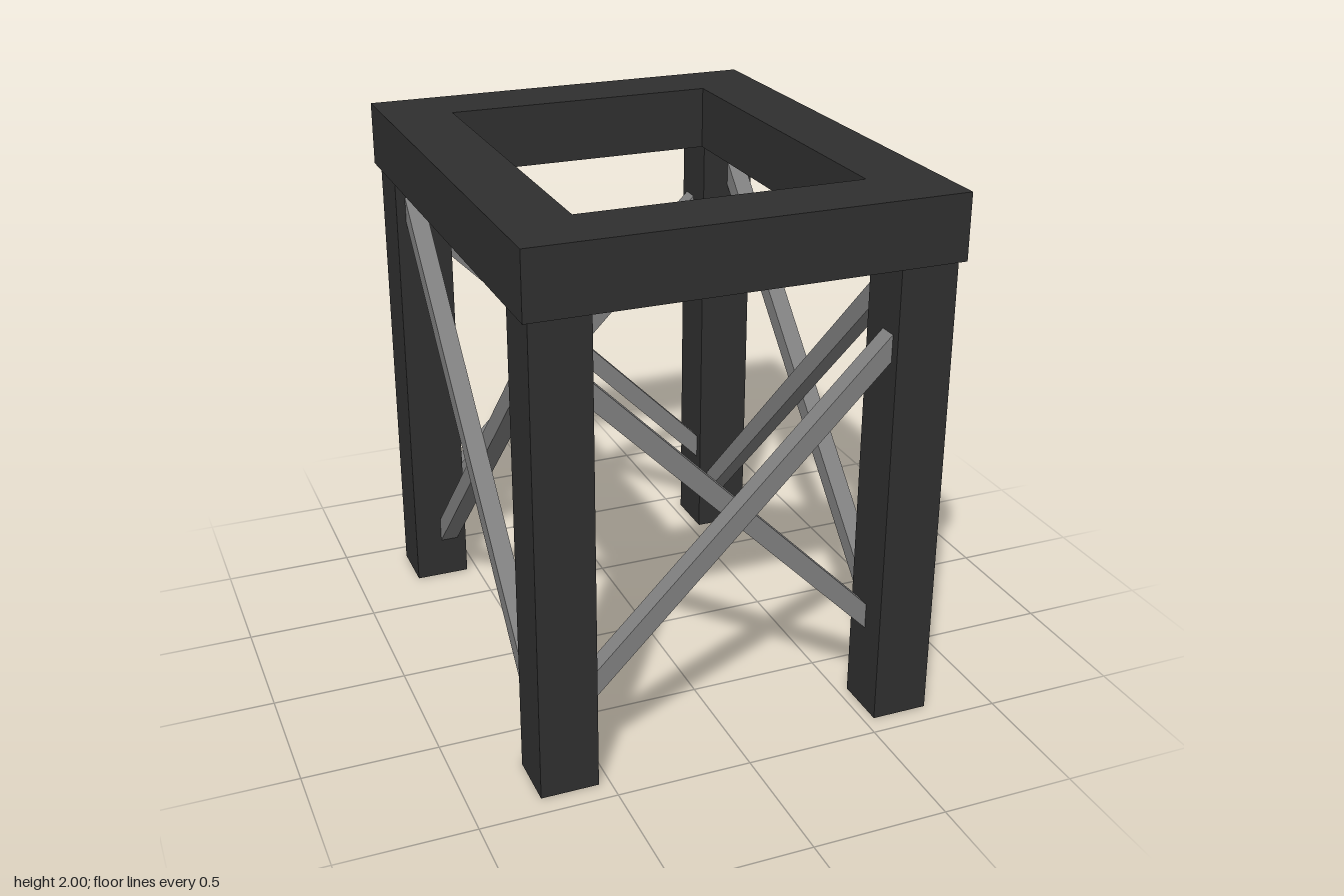
import * as THREE from 'three';

export function createModel() {
  const model = new THREE.Group();
  model.name = 'tableFrame';

  const darkFrame = new THREE.MeshStandardMaterial({ color: 0x2f2f2f });
  darkFrame.name = 'dark frame';
  const greyBrace = new THREE.MeshStandardMaterial({ color: 0x808080 });
  greyBrace.name = 'grey brace';

  const add = (name, geometry, material, x = 0, y = 0, z = 0) => {
    const mesh = new THREE.Mesh(geometry, material);
    mesh.name = name;
    mesh.position.set(x, y, z);
    model.add(mesh);
    return mesh;
  };

  const rect = (Type, hx, hy) => new Type().setFromPoints([
    new THREE.Vector2(-hx, -hy), new THREE.Vector2(hx, -hy),
    new THREE.Vector2(hx, hy), new THREE.Vector2(-hx, hy),
  ]);

  // Open rectangular top frame
  const railBottom = 1.76;
  const outline = rect(THREE.Shape, 0.775, 0.94);
  outline.holes.push(rect(THREE.Path, 0.52, 0.682));
  const top = new THREE.ExtrudeGeometry(outline, { depth: 2 - railBottom, bevelEnabled: false });
  top.rotateX(-Math.PI / 2);
  add('topFrame', top, darkFrame, 0, railBottom, 0);

  // Four square legs, set slightly inside the frame
  const legX = 0.648, legZ = 0.814, legSize = 0.212;
  const legGeometry = new THREE.BoxGeometry(legSize, railBottom, legSize);
  for (const sx of [-1, 1]) {
    for (const sz of [-1, 1]) {
      add(`${sz > 0 ? 'front' : 'back'}${sx > 0 ? 'Left' : 'Right'}Leg`,
        legGeometry, darkFrame, sx * legX, railBottom / 2, sz * legZ);
    }
  }

  // Crossed 45 degree braces, lying side by side; ends are buried in the legs
  const t = 0.07, centreY = 0.92;
  const braceLength = (leg) => 2 * Math.SQRT2 * (leg - 0.06);
  const alongX = new THREE.BoxGeometry(braceLength(legX), t, t);
  const alongZ = new THREE.BoxGeometry(t, t, braceLength(legZ));
  for (const side of [-1, 1]) {
    for (const layer of [-1, 1]) {
      const position = layer > 0 ? 'Outer' : 'Inner';
      const offset = layer * t / 2;
      add(`${side > 0 ? 'front' : 'back'}${position}Brace`, alongX, greyBrace,
        0, centreY, side * (legZ + offset)).rotation.z = layer * Math.PI / 4;
      add(`${side > 0 ? 'left' : 'right'}${position}Brace`, alongZ, greyBrace,
        side * (legX + offset), centreY, 0).rotation.x = layer * Math.PI / 4;
    }
  }

  return model;
}
